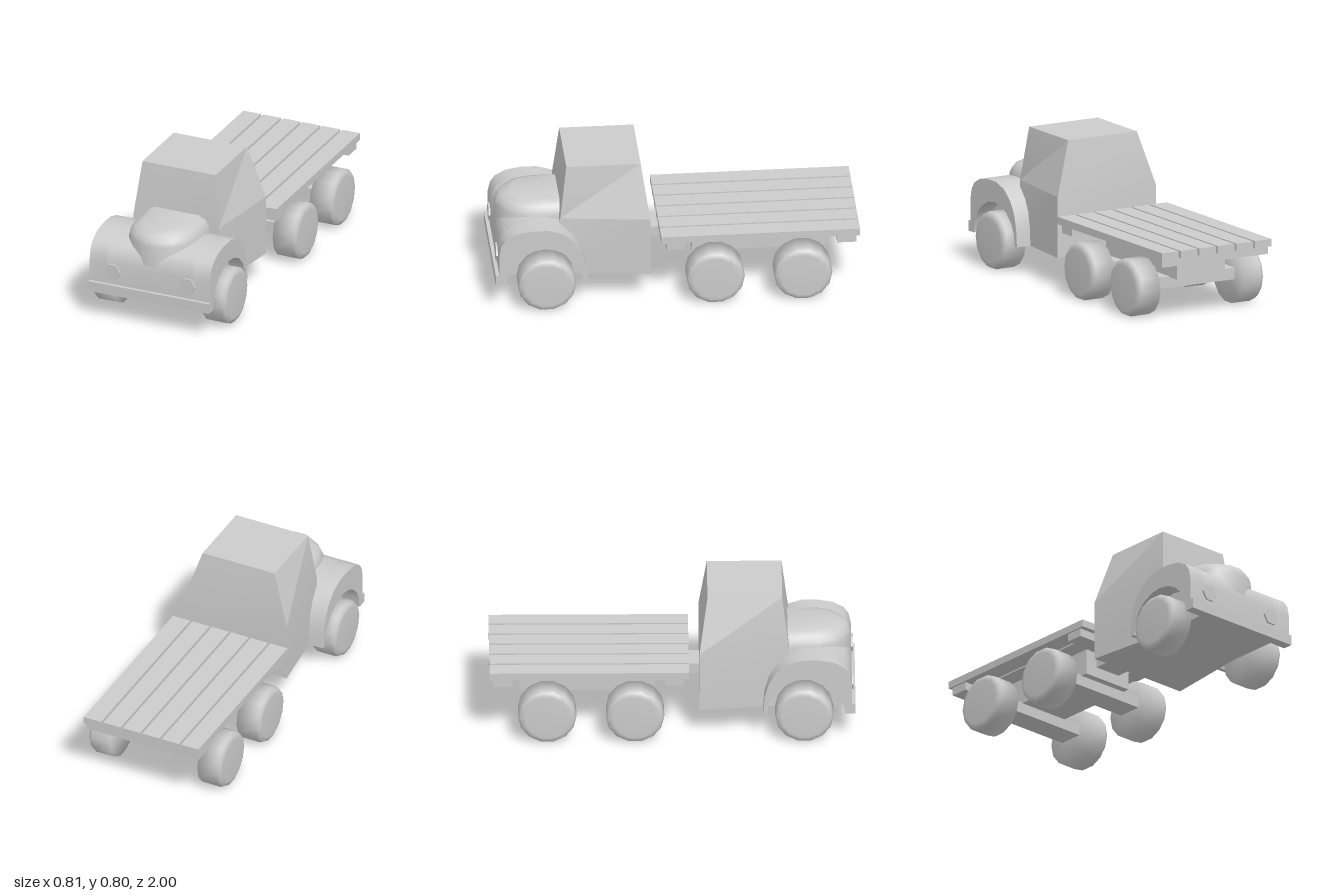
import * as THREE from 'three';
import { toCreasedNormals } from 'three/addons/utils/BufferGeometryUtils.js';

export function createModel() {
  const truck = new THREE.Group();
  truck.name = 'flatbedTruck';
  const material = new THREE.MeshStandardMaterial({ color: 0xcccccc });

  const add = (name, geometry) => {
    const mesh = new THREE.Mesh(geometry, material);
    mesh.name = name;
    truck.add(mesh);
    return mesh;
  };

  // Box given by its limits on each axis
  const box = (name, x0, x1, y0, y1, z0, z1) =>
    add(name, new THREE.BoxGeometry(x1 - x0, y1 - y0, z1 - z0))
      .position.set((x0 + x1) / 2, (y0 + y1) / 2, (z0 + z1) / 2);

  // Skin over convex rings stacked upward, each ring counterclockwise from above
  const loft = (rings, crease) => {
    const n = rings[0].length;
    const index = [];
    for (let r = 0; r < rings.length - 1; r++) {
      for (let i = 0; i < n; i++) {
        const a = r * n + i, b = r * n + (i + 1) % n;
        index.push(a, b, b + n, a, b + n, a + n);
      }
    }
    const top = (rings.length - 1) * n;
    for (let i = 1; i < n - 1; i++) {
      index.push(0, i + 1, i, top, top + i, top + i + 1);
    }
    const g = new THREE.BufferGeometry();
    g.setAttribute('position', new THREE.Float32BufferAttribute(rings.flat(2), 3));
    g.setIndex(index);
    return toCreasedNormals(g, crease);
  };

  // Side profile of [z, y] points extruded from x0 to x1
  const sideExtrude = (points, x0, x1) => {
    const shape = new THREE.Shape(points.map(([z, y]) => new THREE.Vector2(z, y)));
    const g = new THREE.ExtrudeGeometry(shape, { depth: x1 - x0, bevelEnabled: false });
    g.rotateY(-Math.PI / 2).translate(x1, 0, 0);
    return toCreasedNormals(g, 0.6);
  };

  // Cab: wider at the back, roof drawn in
  const cabRing = (y, front, back, zFront, zBack) => [
    [front, y, zFront], [back, y, zBack], [-back, y, zBack], [-front, y, zFront],
  ];
  add('cab', loft([
    cabRing(0.16, 0.26, 0.315, 0.64, 0.148),
    cabRing(0.5, 0.256, 0.315, 0.637, 0.148),
    cabRing(0.8, 0.22, 0.22, 0.6, 0.192),
  ], 0.2));

  // Fenders: rounded nose across the full width, with open wheel arches
  const outer = [
    [0.98, 0.16], [0.98, 0.34], [0.968, 0.4], [0.94, 0.44], [0.88, 0.472],
    [0.8, 0.485], [0.71, 0.485], [0.63, 0.46], [0.565, 0.405], [0.525, 0.34],
    [0.503, 0.26], [0.495, 0.16],
  ];
  const arch = [];
  for (let i = 0; i <= 10; i++) {
    const a = Math.PI * (1 - i / 10);
    arch.push([0.73 + 0.213 * Math.cos(a), 0.16 + 0.21 * Math.sin(a)]);
  }
  add('nose', sideExtrude(outer, -0.26, 0.26));
  add('leftFender', sideExtrude([...outer, ...arch], 0.26, 0.363));
  add('rightFender', sideExtrude([...outer, ...arch], -0.363, -0.26));

  // Hood: rounded plan outline, shrinking toward the top
  const half = [[0.04, 0.975], [0.12, 0.935], [0.17, 0.885], [0.195, 0.81], [0.2, 0.74], [0.2, 0.62]];
  const plan = [...half, ...half.map(([x, z]) => [-x, z]).reverse()];
  const hoodLevels = [[0.34, 1, 1], [0.485, 1, 1], [0.51, 0.95, 0.98], [0.535, 0.88, 0.92], [0.555, 0.66, 0.78]];
  add('hood', loft(hoodLevels.map(([y, sx, sz]) =>
    plan.map(([x, z]) => [x * sx, y, 0.62 + (z - 0.62) * sz])), 1.0));

  // Bumper and hexagonal headlights
  box('bumper', -0.363, 0.363, 0.16, 0.218, 0.97, 1);
  for (const s of [-1, 1]) {
    const lamp = new THREE.CylinderGeometry(0.05, 0.05, 0.03, 6);
    lamp.rotateY(Math.PI / 6).rotateX(Math.PI / 2);
    add(s > 0 ? 'leftHeadlight' : 'rightHeadlight', toCreasedNormals(lamp, 0.3))
      .position.set(s * 0.226, 0.294, 0.975);
  }

  // Chassis and the bar joining it to the cab
  box('hitchBar', -0.08, 0.08, 0.265, 0.325, -0.12, 0.2);
  box('chassis', -0.155, 0.155, 0.205, 0.35, -0.835, -0.095);

  // Wheels, smooth with rounded outer shoulders
  const tire = new THREE.LatheGeometry([
    [0, -0.07], [0.159, -0.07], [0.16, 0.045], [0.15, 0.062], [0.125, 0.07], [0, 0.07],
  ].map(([r, h]) => new THREE.Vector2(r, h)), 14);
  tire.rotateZ(-Math.PI / 2);
  for (const [place, z] of [['front', 0.72], ['middle', -0.205], ['rear', -0.685]]) {
    for (const s of [-1, 1]) {
      const wheel = add(place + (s > 0 ? 'Left' : 'Right') + 'Wheel', tire);
      wheel.position.set(s * 0.335, 0.16, z);
      if (s < 0) wheel.rotation.y = Math.PI;
    }
    if (place !== 'front') box(place + 'Axle', -0.27, 0.27, 0.145, 0.21, z - 0.07, z + 0.07);
  }

  // Flatbed: cross members carrying six planks
  box('frontCrossMember', -0.34, 0.34, 0.32, 0.366, -0.04, 0.06);
  box('rearCrossMember', -0.34, 0.34, 0.32, 0.366, -0.98, -0.875);
  for (let i = 0; i < 6; i++) {
    const x = (i - 2.5) * 0.119;
    box('plank' + (i + 1), x - 0.053, x + 0.053, 0.365, 0.406, -1, 0.09);
  }

  return truck;
}
